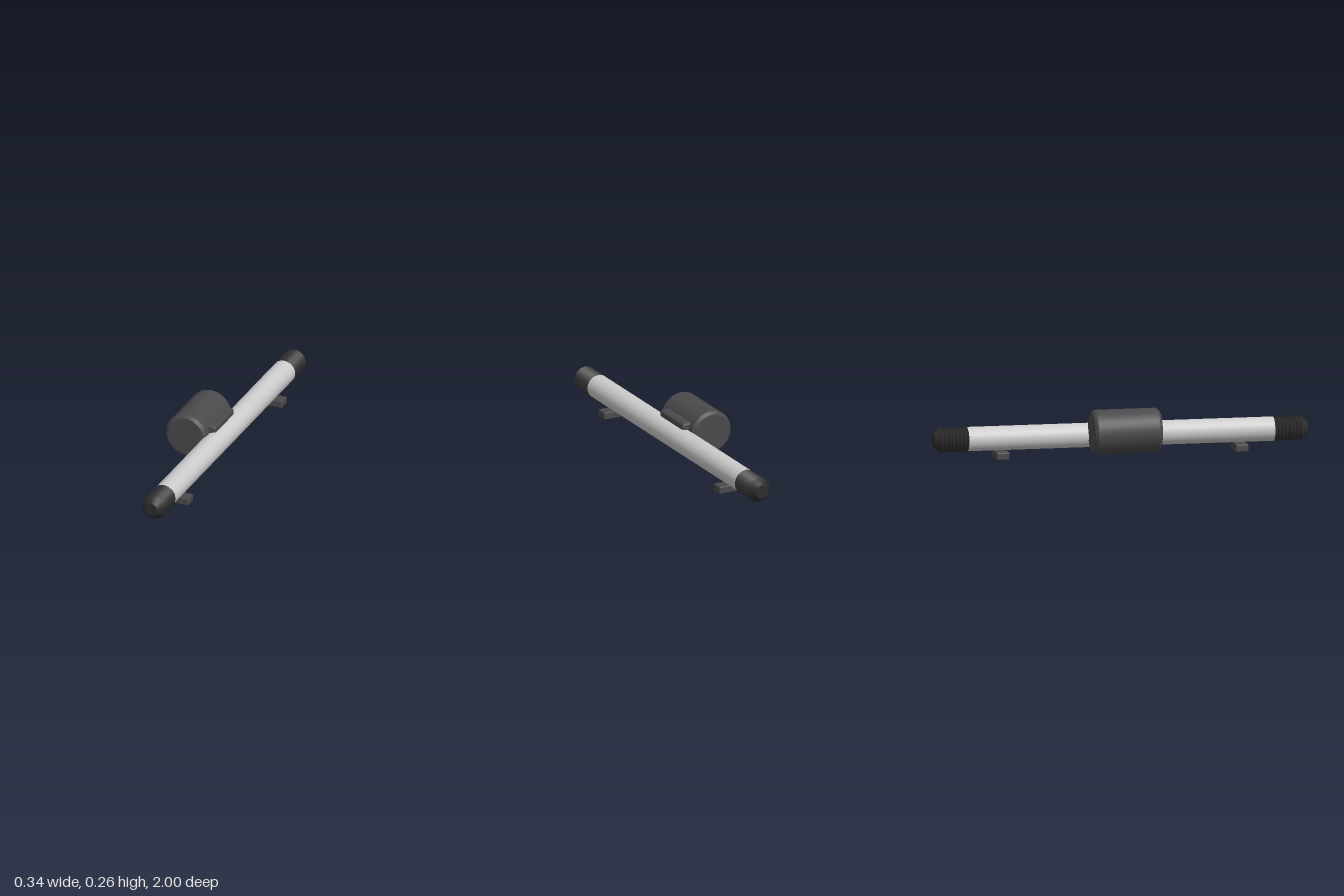
import * as THREE from 'three';
import { toCreasedNormals } from 'three/addons/utils/BufferGeometryUtils.js';
import { RoundedBoxGeometry } from 'three/addons/geometries/RoundedBoxGeometry.js';

const ROD_X = 0.09, ROD_Y = 0.107;

const material = (color) => new THREE.MeshStandardMaterial({ color });

// Turned part along z from [radius, z] pairs, running from back to front
function turned(profile, segments) {
  const points = profile.map(([r, z]) => new THREE.Vector2(r, z));
  const geometry = new THREE.LatheGeometry(points, segments).rotateX(Math.PI / 2);
  return toCreasedNormals(geometry, 0.5);
}

export function createModel() {
  const model = new THREE.Group();
  model.name = 'barWithDrum';
  const steel = material(0xcccccc);
  const plastic = material(0x4a4a4c);
  const rubber = material(0x2c2c2c);

  function add(name, geometry, mat, x, y, z = 0) {
    const mesh = new THREE.Mesh(geometry, mat);
    mesh.name = name;
    mesh.position.set(x, y, z);
    model.add(mesh);
    return mesh;
  }

  // Long straight tube
  add('rod', turned([[0, -0.82], [0.064, -0.82], [0.064, 0.82], [0, 0.82]], 32), steel, ROD_X, ROD_Y);

  // Ribbed grip: zigzag rings, then a chamfered tip
  const ribs = 8, start = 0.812, pitch = 0.02;
  const grip = [[0, start], [0.057, start]];
  for (let i = 0; i < ribs; i++) {
    grip.push([0.067, start + (i + 0.5) * pitch]);
    if (i < ribs - 1) grip.push([0.056, start + (i + 1) * pitch]);
  }
  grip.push([0.037, 1], [0, 1]);
  const gripGeometry = turned(grip, 16);
  add('frontGrip', gripGeometry, rubber, ROD_X, ROD_Y);
  add('backGrip', gripGeometry, rubber, ROD_X, ROD_Y).rotation.y = Math.PI;

  // Drum beside the rod, with chamfered ends
  add('drum', turned([
    [0, -0.18], [0.102, -0.18], [0.117, -0.165],
    [0.117, 0.165], [0.102, 0.18], [0, 0.18],
  ], 32), plastic, -0.054, 0.146);

  // Block joining the drum to the rod
  add('mount', new RoundedBoxGeometry(0.1, 0.155, 0.26, 3, 0.015), plastic, 0.045, 0.1275);

  // Cross feet under the rod
  const footGeometry = new RoundedBoxGeometry(0.155, 0.042, 0.07, 3, 0.008);
  add('frontFoot', footGeometry, plastic, ROD_X, 0.021, 0.64);
  add('backFoot', footGeometry, plastic, ROD_X, 0.021, -0.64);

  return model;
}
